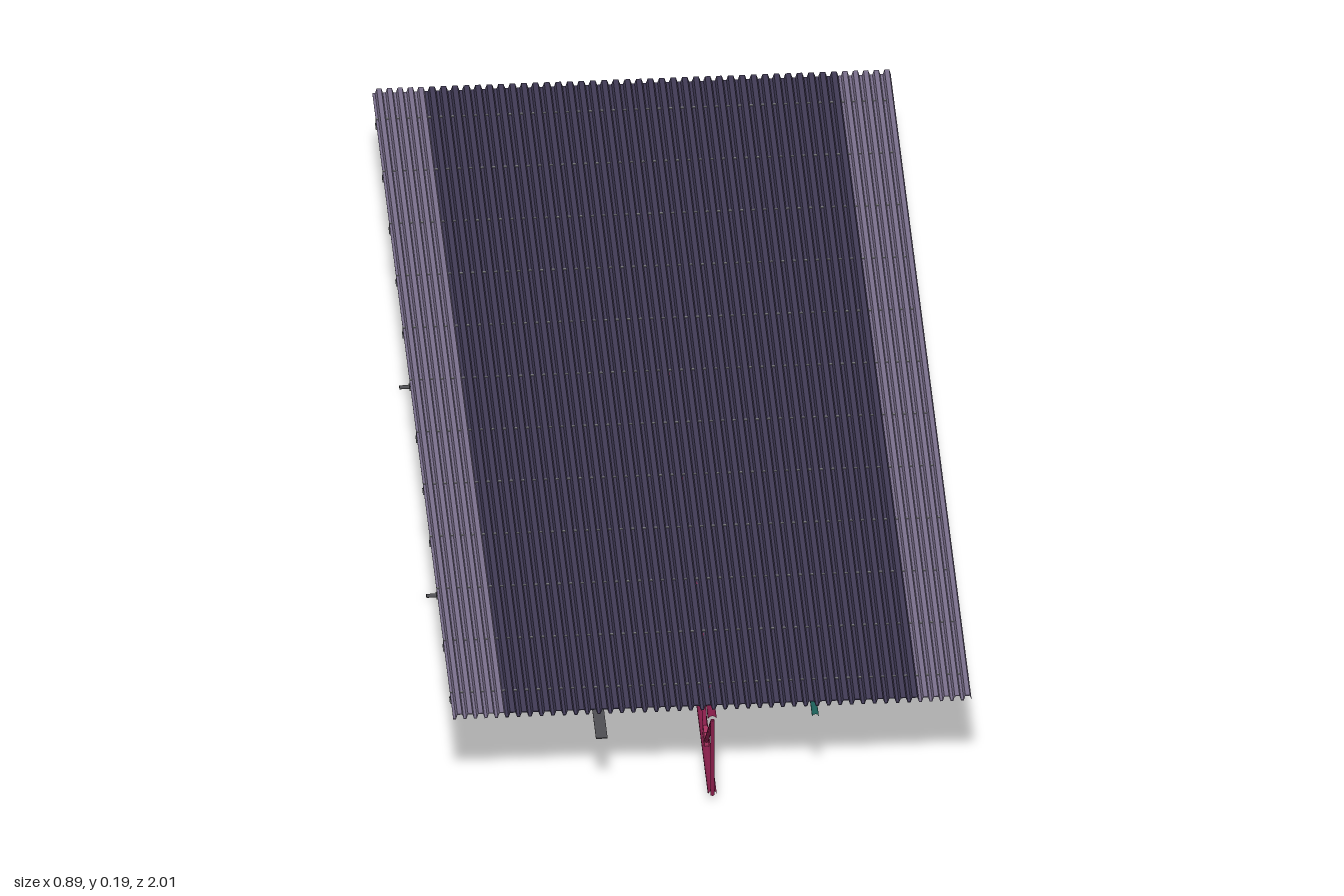
import * as THREE from 'three';

const HALF_W = 0.445, LENGTH = 2;
const CHORD_LOW = 0.008, CHORD_HIGH = 0.16;

const paint = (name, color) => {
  const m = new THREE.MeshStandardMaterial({ color });
  m.name = name;
  return m;
};

export function createModel() {
  const model = new THREE.Group();
  model.name = 'roofSection';
  const deckDark = paint('dark roof sheet', 0x403a55);
  const deckEdge = paint('edge roof sheet', 0x7a6f8c);
  const steel = paint('purlin steel', 0x737379);
  const rodGrey = paint('dark rod steel', 0x4e4e52);
  const crimson = paint('crimson truss', 0x861d49);
  const rose = paint('rose plate', 0xa8325f);
  const teal = paint('teal pipe', 0x1c625b);

  const add = (name, geometry, material, parent = model) => {
    const mesh = new THREE.Mesh(geometry, material);
    mesh.name = name;
    parent.add(mesh);
    return mesh;
  };
  const box = (name, material, w, h, d, x, y, z, parent) => {
    const m = add(name, new THREE.BoxGeometry(w, h, d), material, parent);
    m.position.set(x, y, z);
    return m;
  };
  // Round bar between two points
  const bar = (name, material, a, b, radius, parent, open = false) => {
    const from = new THREE.Vector3(...a), to = new THREE.Vector3(...b);
    const dir = to.clone().sub(from);
    const m = add(name, new THREE.CylinderGeometry(radius, radius, dir.length(), 10, 1, open), material, parent);
    m.position.copy(from).add(to).multiplyScalar(0.5);
    m.quaternion.setFromUnitVectors(new THREE.Vector3(0, 1, 0), dir.normalize());
    return m;
  };

  // Trapezoidal roof sheet, ribs running along z
  const sheet = (name, material, x0, x1, ribs) => {
    const low = 0.182, high = 0.191, t = 0.0015;
    const pitch = (x1 - x0) / ribs, top = [];
    for (let i = 0; i < ribs; i++) {
      const x = x0 + i * pitch;
      top.push([x, low], [x + pitch * 0.25, low], [x + pitch * 0.4, high], [x + pitch * 0.85, high]);
    }
    top.push([x1, low]);
    const outline = [...top, ...top.map(([x, y]) => [x, y - t]).reverse()];
    const shape = new THREE.Shape(outline.map(([x, y]) => new THREE.Vector2(x, y)));
    const g = new THREE.ExtrudeGeometry(shape, { depth: LENGTH, bevelEnabled: false });
    g.translate(0, 0, -LENGTH / 2);
    add(name, g, material);
  };
  const seam = 0.355;
  sheet('roofSheet', deckDark, -seam, seam, 36);
  sheet('rightEdgeSheet', deckEdge, -HALF_W, -seam, 5);
  sheet('leftEdgeSheet', deckEdge, seam, HALF_W, 5);

  // Purlins across the width, each cleated to the truss
  const purlinZ = Array.from({ length: 12 }, (_, i) => -11 / 12 + i / 6);
  const purlins = new THREE.Group();
  purlins.name = 'purlins';
  model.add(purlins);
  for (const z of purlinZ) {
    box('purlinWeb', steel, HALF_W * 2, 0.022, 0.004, 0, 0.172, z, purlins);
    box('purlinTopFlange', steel, HALF_W * 2, 0.002, 0.016, 0, 0.18, z + 0.006, purlins);
    box('purlinBottomFlange', steel, HALF_W * 2, 0.002, 0.02, 0, 0.162, z - 0.008, purlins);
    box('purlinCleat', rose, 0.012, 0.012, 0.008, 0, 0.176, z + 0.012, purlins);
  }

  // Truss along z
  const truss = new THREE.Group();
  truss.name = 'truss';
  model.add(truss);
  for (const y of [CHORD_LOW, CHORD_HIGH])
    bar('trussChord', crimson, [0, y, -1], [0, y, 1], 0.0078, truss, true);

  // Gusset plate with clipped corners, flat side on the chord
  const gusset = (z, y, up) => {
    const s = new THREE.Shape();
    s.moveTo(-0.023, 0);
    s.lineTo(0.023, 0);
    s.lineTo(0.023, 0.015);
    s.lineTo(0.012, 0.028);
    s.lineTo(-0.012, 0.028);
    s.lineTo(-0.023, 0.015);
    const g = new THREE.ExtrudeGeometry(s, { depth: 0.008, bevelEnabled: false });
    g.translate(0, 0, -0.004);
    g.rotateY(Math.PI / 2);
    if (!up) g.rotateX(Math.PI);
    add('gussetPlate', g, rose, truss).position.set(0, y, z);
  };
  for (let i = 0; i < 6; i++) {
    const z = 1 - i / 3, mid = z - 1 / 6;
    bar('trussPost', crimson, [0, CHORD_LOW, z], [0, CHORD_HIGH, z], 0.0035, truss);
    for (const end of [z, z - 1 / 3])
      bar('trussDiagonal', crimson, [0, CHORD_HIGH - 0.004, end], [0, CHORD_LOW, mid], 0.004, truss);
    gusset(mid, CHORD_LOW, true);
    if (i > 0) gusset(z, CHORD_HIGH, false);
  }

  // Cross ties at the bottom chord
  for (const z of [-1 / 3, 1 / 3])
    bar('crossTie', rodGrey, [-HALF_W, CHORD_LOW, z], [HALF_W, CHORD_LOW, z], 0.0035);

  // Cable tray
  box('cableTray', rodGrey, 0.02, 0.002, LENGTH, -0.19, 0.131, 0);

  // Pipe with drops and hangers
  const px = 0.177, py = 0.158;
  bar('waterPipe', teal, [px, py, -1], [px, py, 1], 0.006, model, true);
  for (const z of [-0.75, -0.25, 0.25, 0.75]) {
    bar('sprinklerDrop', teal, [px, 0.122, z], [px, py, z], 0.002);
    bar('sprinklerHead', teal, [px, 0.118, z], [px, 0.122, z], 0.0035);
  }
  for (const z of [-11 / 12, -7 / 12, -1 / 12, 5 / 12, 11 / 12])
    bar('pipeHanger', steel, [px, py, z + 0.005], [px, 0.182, z + 0.005], 0.001);

  return model;
}
